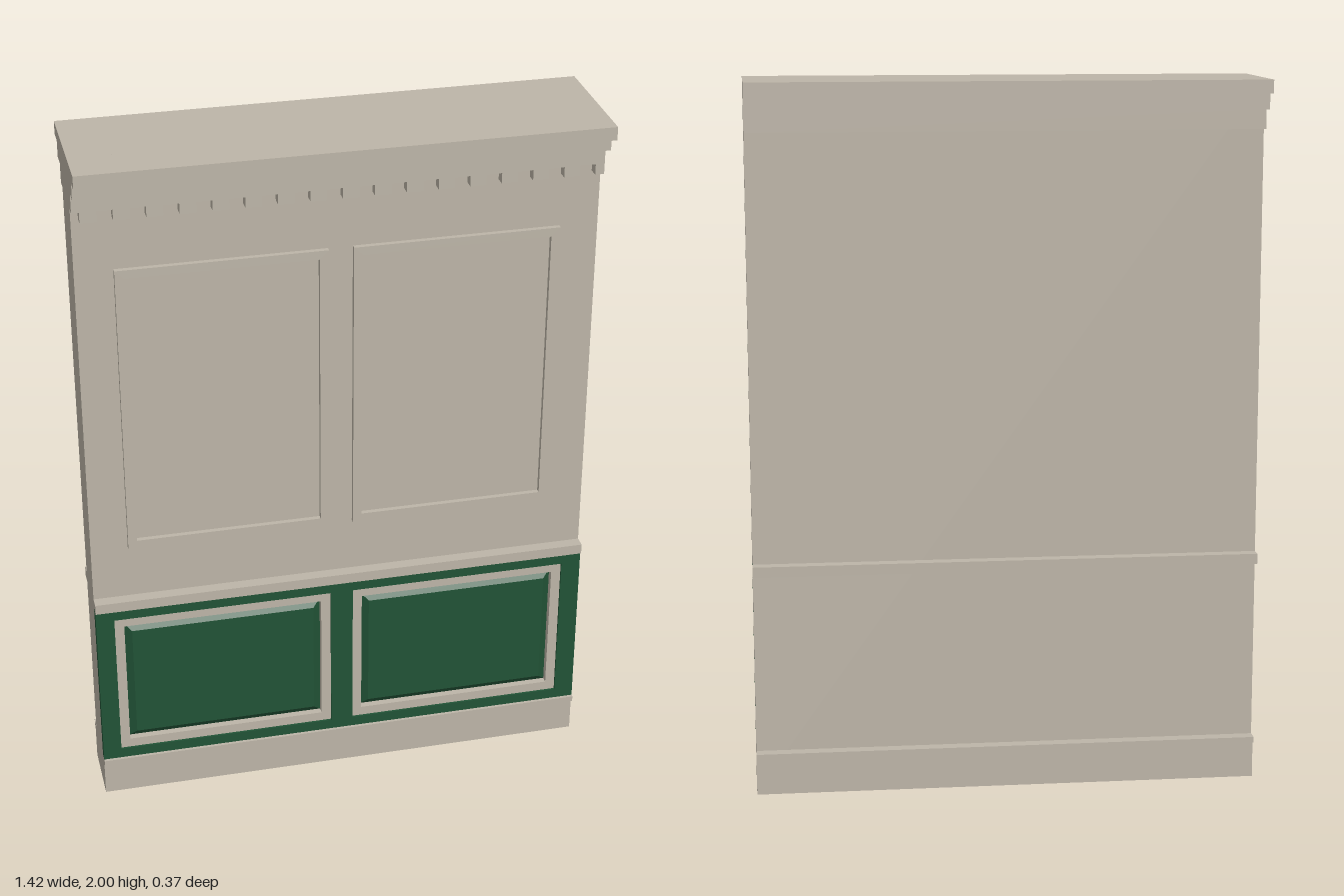
import * as THREE from 'three';

const HALF_W = 0.712;
const WALL_Z = 0.07;

export function createModel() {
  const model = new THREE.Group();
  model.name = 'panelledWall';
  const stone = new THREE.MeshStandardMaterial({ color: 0xbdb5a8 });
  stone.name = 'warm stone';
  const green = new THREE.MeshStandardMaterial({ color: 0x215336 });
  green.name = 'dark green';

  function add(name, geometry, material, z = 0) {
    const mesh = new THREE.Mesh(geometry, material);
    mesh.name = name;
    mesh.position.z = z;
    model.add(mesh);
    return mesh;
  }

  function block(name, x0, x1, y0, y1, z0, z1, material = stone) {
    const g = new THREE.BoxGeometry(x1 - x0, y1 - y0, z1 - z0);
    g.translate((x0 + x1) / 2, (y0 + y1) / 2, (z0 + z1) / 2);
    return add(name, g, material);
  }

  const corners = (x0, x1, y0, y1) => [
    new THREE.Vector2(x0, y0), new THREE.Vector2(x1, y0),
    new THREE.Vector2(x1, y1), new THREE.Vector2(x0, y1),
  ];

  // Flat plate with rectangular openings, standing on the wall face
  function plate(name, outer, holes, depth, material) {
    const shape = new THREE.Shape(corners(...outer));
    holes.forEach((h) => shape.holes.push(new THREE.Path(corners(...h).reverse())));
    const g = new THREE.ExtrudeGeometry(shape, { depth, bevelEnabled: false });
    return add(name, g, material, WALL_Z);
  }

  const inset = ([x0, x1, y0, y1], d) => [x0 + d, x1 - d, y0 + d, y1 - d];

  // Wall and the mouldings that run along both faces: [name, y0, y1, half depth]
  [
    ['wall', 0, 2, WALL_Z],
    ['baseboard', 0, 0.105, 0.092],
    ['baseCap', 0.105, 0.122, 0.105],
    ['chairRail', 0.635, 0.665, 0.104],
    ['corniceLower', 1.862, 1.917, 0.1],
    ['corniceMiddle', 1.917, 1.963, 0.142],
    ['corniceTop', 1.963, 2, 0.185],
  ].forEach(([name, y0, y1, z]) => block(name, -HALF_W, HALF_W, y0, y1, -z, z));

  // Row of dentils under the front cornice, the last one cut at the wall end
  for (let i = 0; i < 17; i++) {
    const x = -0.692 + i * 0.0862;
    block('dentil', x, Math.min(x + 0.044, HALF_W), 1.832, 1.862, WALL_Z, 0.1);
  }

  // Upper picture frames
  [[-0.608, -0.036, 0.825, 1.68], [0.032, 0.604, 0.825, 1.68]].forEach((r) =>
    plate('upperFrame', r, [inset(r, 0.025)], 0.014, stone));

  // Green wainscot with two framed, raised panels
  const openings = [[-0.66, -0.034, 0.152, 0.602], [0.03, 0.656, 0.152, 0.602]];
  plate('wainscot', [-HALF_W, HALF_W, 0.122, 0.635], openings, 0.026, green);
  openings.forEach((r) => {
    plate('lowerFrame', r, [inset(r, 0.028)], 0.02, stone);
    const [x0, x1, y0, y1] = inset(r, 0.028);
    const w = x1 - x0;
    const h = y1 - y0;
    const depth = 0.016;
    let g = new THREE.BoxGeometry(w, h, depth);
    const p = g.attributes.position;
    // Draw the front corners inward for the bevel
    for (let i = 0; i < p.count; i++) {
      if (p.getZ(i) > 0) {
        p.setX(i, p.getX(i) * (1 - 0.044 / w));
        p.setY(i, p.getY(i) * (1 - 0.044 / h));
      }
    }
    g = g.toNonIndexed();
    g.computeVertexNormals();
    g.translate((x0 + x1) / 2, (y0 + y1) / 2, WALL_Z + depth / 2);
    add('raisedPanel', g, green);
  });

  return model;
}
